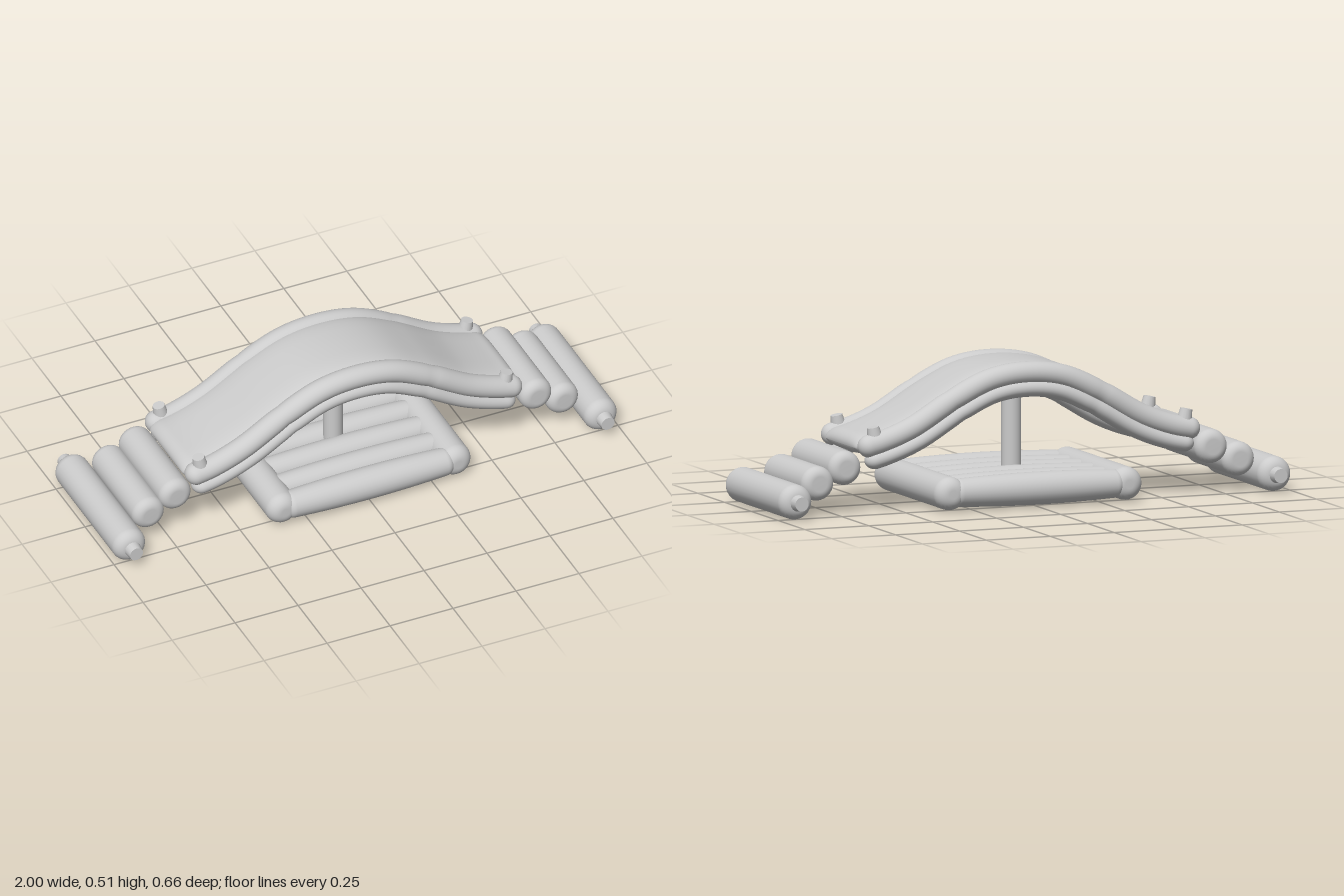
import * as THREE from 'three';

const material = new THREE.MeshStandardMaterial({ color: 0xcccccc });
const MID_Z = -0.008;

function add(parent, name, geometry, x = 0, y = 0, z = 0) {
  const mesh = new THREE.Mesh(geometry, material);
  mesh.name = name;
  mesh.position.set(x, y, z);
  parent.add(mesh);
  return mesh;
}

// Centre line of the arch
const arch = new THREE.CatmullRomCurve3([
  [-0.675, 0.232], [-0.57, 0.252], [-0.45, 0.297], [-0.28, 0.395], [-0.14, 0.457], [0, 0.475],
  [0.14, 0.457], [0.28, 0.395], [0.45, 0.297], [0.57, 0.252], [0.655, 0.232],
].map(([x, y]) => new THREE.Vector3(x, y, 0)));

// Inflated tube following the arch: rounded ends, superellipse section, optional seam pinches
function archTube({ halfWidth, halfHeight, offset = 0, power = 1, cap = 0.04, pinch = 0, inset = 0 }) {
  const rings = 96, sides = 28, positions = [], index = [];
  const length = arch.getLength();
  for (let i = 0; i <= rings; i++) {
    // samples bunch up towards the ends so that the caps are smooth
    const s = 0.5 - 0.5 * Math.cos(Math.PI * i / rings);
    const t = (inset + s * (length - 2 * inset)) / length;
    const p = arch.getPointAt(t), d = arch.getTangentAt(t);
    const fromEnd = Math.min(s, 1 - s) * (length - 2 * inset);
    const k = 1 - Math.min(1, fromEnd / cap);
    const round = Math.max(0.002, Math.sqrt(1 - k * k));
    const seam = 1 - pinch * Math.exp(-(((Math.abs(p.x) - 0.29) / 0.018) ** 2));
    for (let j = 0; j < sides; j++) {
      const a = j / sides * Math.PI * 2, c = Math.cos(a), n = Math.sin(a);
      const w = Math.sign(c) * Math.abs(c) ** power * halfWidth * seam
        * (power < 1 ? 0.8 + 0.2 * round : round);
      const h = offset + Math.sign(n) * Math.abs(n) ** power * halfHeight * round * seam;
      positions.push(p.x - d.y * h, p.y + d.x * h, w);
      if (i < rings) {
        const q = i * sides + j, r = i * sides + (j + 1) % sides;
        index.push(q, q + sides, r, q + sides, r + sides, r);
      }
    }
  }
  const geometry = new THREE.BufferGeometry();
  geometry.setAttribute('position', new THREE.Float32BufferAttribute(positions, 3));
  geometry.setIndex(index);
  geometry.computeVertexNormals();
  return geometry;
}

// Inflated roll along y with rounded rims; bulge narrows it towards the ends
function roll(length, radius, rim, bulge = 0) {
  const half = length / 2, pts = [new THREE.Vector2(0.0001, -half)];
  const end = radius * (1 - bulge);
  for (let i = 0; i <= 8; i++) {
    const a = i / 8 * Math.PI / 2;
    pts.push(new THREE.Vector2(end - rim + rim * Math.sin(a), -half + rim - rim * Math.cos(a)));
  }
  for (let i = 1; i < 8; i++) {
    const s = i / 8 * 2 - 1;
    pts.push(new THREE.Vector2(radius * (1 - bulge * s * s), s * (half - rim)));
  }
  for (const p of pts.slice(0, 10).reverse()) pts.push(new THREE.Vector2(p.x, -p.y));
  return new THREE.LatheGeometry(pts, 28);
}
const alongX = g => g.rotateZ(-Math.PI / 2);
const alongZ = g => g.rotateX(Math.PI / 2);

export function createModel() {
  const model = new THREE.Group();
  model.name = 'inflatableArch';

  // Deck and paired side rails
  const deck = archTube({ halfWidth: 0.165, halfHeight: 0.038, power: 0.6, cap: 0.05 });
  add(model, 'deck', deck, 0, 0, MID_Z);
  for (const side of [-1, 1]) {
    const z = MID_Z + side * 0.171;
    const rail = new THREE.Group();
    rail.name = side > 0 ? 'frontRail' : 'backRail';
    rail.position.z = z;
    model.add(rail);
    add(rail, 'upperRailTube', archTube({ halfWidth: 0.043, halfHeight: 0.041, pinch: 0.06 }));
    add(rail, 'lowerRailTube',
      archTube({ halfWidth: 0.041, halfHeight: 0.033, offset: -0.055, inset: 0.015, pinch: 0.06 }));

    // Tapered handles standing on the rail ends
    for (const x of [-0.618, 0.592]) {
      const knob = add(rail, 'railKnob', new THREE.CylinderGeometry(0.022, 0.033, 0.075, 16), x, 0.273, 0);
      knob.rotation.z = -Math.sign(x) * 0.2;
    }
  }

  // Steps and end rolls on both sides
  for (const side of [-1, 1]) {
    const steps = new THREE.Group();
    steps.name = side > 0 ? 'leftSteps' : 'rightSteps';
    model.add(steps);
    for (const [x, y] of [[0.822, 0.118], [0.716, 0.169]]) {
      add(steps, 'step', alongZ(roll(0.4, 0.063, 0.035)), side * x, y, -0.017);
    }
    add(steps, 'endRoll', alongZ(roll(0.56, 0.064, 0.042)), side * 0.936, 0.065, MID_Z);
    for (const end of [-1, 1]) {
      const g = new THREE.CylinderGeometry(0.026, 0.034, 0.06, 16).rotateX(end * Math.PI / 2);
      add(steps, 'endKnob', g, side * 0.936, 0.065, MID_Z + end * 0.283);
    }
  }

  // Centre post
  add(model, 'post', new THREE.CylinderGeometry(0.036, 0.036, 0.37, 24), -0.012, 0.265, MID_Z);

  // Raft base: slats along x closed by a cross tube at each end
  const base = new THREE.Group();
  base.name = 'base';
  model.add(base);
  for (let i = 0; i < 6; i++) {
    const outer = i === 0 || i === 5;
    const g = alongX(roll(0.66, outer ? 0.06 : 0.056, 0.03, 0.14));
    add(base, outer ? 'sideTube' : 'slat', g, 0, 0.067, -0.005 + (i - 2.5) * 0.108);
  }
  for (const side of [-1, 1]) {
    add(base, 'crossTube', alongZ(roll(0.63, 0.061, 0.045)), side * 0.344, 0.067, -0.008);
  }
  return model;
}
